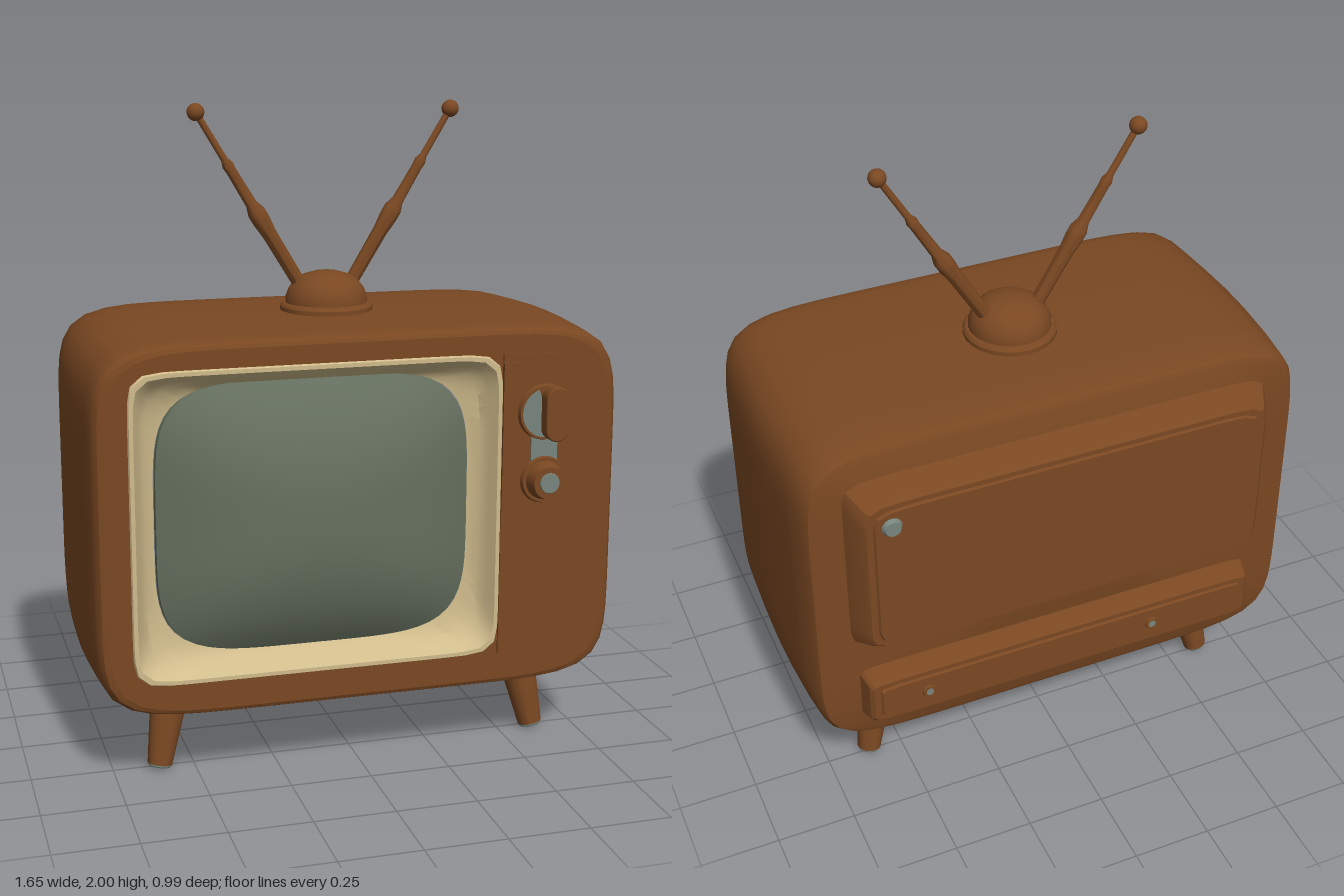
import * as THREE from 'three';
import { toCreasedNormals } from 'three/addons/utils/BufferGeometryUtils.js';

const N = 96;

// Superellipse ring, counter-clockwise seen from the front
function ring(cx, cy, a, b, n, z) {
  const pts = [];
  for (let i = 0; i < N; i++) {
    const t = (i / N) * Math.PI * 2 + Math.PI / N;
    const c = Math.cos(t), s = Math.sin(t);
    const k = Math.pow(Math.pow(Math.abs(c), n) + Math.pow(Math.abs(s), n), -1 / n);
    pts.push(new THREE.Vector3(cx + a * c * k, cy + b * s * k, z));
  }
  return pts;
}

// Skin over a series of rings
function loft(rings, crease = 0.6) {
  const pos = [], idx = [];
  rings.forEach((r) => r.forEach((p) => pos.push(p.x, p.y, p.z)));
  for (let i = 0; i < rings.length - 1; i++) {
    for (let j = 0; j < N; j++) {
      const a = i * N + j, b = i * N + (j + 1) % N;
      idx.push(a, b, b + N, a, b + N, a + N);
    }
  }
  const g = new THREE.BufferGeometry();
  g.setAttribute('position', new THREE.Float32BufferAttribute(pos, 3));
  g.setIndex(idx);
  g.computeVertexNormals();
  return toCreasedNormals(g, crease);
}

export function createModel() {
  const mat = (name, color) => Object.assign(new THREE.MeshStandardMaterial({ color }), { name });
  const brown = mat('brown', 0x7a4822);
  const cream = mat('cream', 0xd0bc8c);
  const glass = mat('screen glass', 0x66705f);
  const metal = mat('grey metal', 0x76847c);

  const model = new THREE.Group();
  model.name = 'television';
  const add = (name, geo, material, x = 0, y = 0, z = 0) => {
    const m = new THREE.Mesh(geo, material);
    m.name = name;
    m.position.set(x, y, z);
    model.add(m);
    return m;
  };
  // Round part whose axis points along z, from z0 to z1
  const disc = (name, material, x, y, r0, r1, z0, z1) => {
    const g = new THREE.CylinderGeometry(r1, r0, z1 - z0, 40);
    g.rotateX(Math.PI / 2);
    return add(name, g, material, x, y, (z0 + z1) / 2);
  };
  // Turned part along the line from p to q
  const turned = (name, profile, material, p, q) => {
    const pts = profile.map(([r, h]) => new THREE.Vector2(r, h));
    const m = add(name, toCreasedNormals(new THREE.LatheGeometry(pts, 24), 0.6), material, p.x, p.y, p.z);
    m.quaternion.setFromUnitVectors(new THREE.Vector3(0, 1, 0), q.clone().sub(p).normalize());
    return m;
  };
  const V = (x, y, z) => new THREE.Vector3(x, y, z);

  // Cabinet shell, bulging a little at mid depth
  const CY = 0.785;
  const bodyRing = (inset, z) => ring(0, CY, 0.825 - inset, 0.575 - inset * 0.6, 8, z);
  const sections = [[0.06, -0.4], [0.035, -0.392], [0.022, -0.37], [0.01, -0.25], [0.002, -0.1], [0, 0.02],
    [0.003, 0.15], [0.01, 0.3], [0.015, 0.375], [0.022, 0.4], [0.032, 0.413], [0.05, 0.418]];
  add('cabinet', loft([ring(0, CY, 0, 0, 8, -0.4), ...sections.map(([i, z]) => bodyRing(i, z))]), brown);

  // Front face with the screen opening
  const opening = (inset, z, n = 16) => ring(-0.137, 0.8, 0.565 - inset, 0.47 - inset, n, z);
  const flat = (pts) => pts.map((p) => new THREE.Vector2(p.x, p.y));
  const face = new THREE.Shape(flat(bodyRing(0.05, 0)));
  face.holes.push(new THREE.Path(flat(opening(0, 0))));
  add('cabinetFront', new THREE.ShapeGeometry(face), brown, 0, 0, 0.418);

  // Cream surround sloping in to the screen
  add('screenSurround', loft([opening(-0.004, 0.417), opening(0, 0.426), opening(0.012, 0.426), opening(0.03, 0.395, 13),
    opening(0.05, 0.365, 10), ring(-0.14, 0.81, 0.485, 0.412, 4.6, 0.352)], 0.7), cream);

  // Bulging picture tube
  const tube = [];
  for (let i = 0; i <= 14; i++) {
    const s = 1 - i / 14;
    tube.push(ring(-0.14, 0.81, 0.48 * s, 0.41 * s, 2.4 + 2.2 * s, 0.365 + 0.113 * (1 - Math.pow(s, 2.5))));
  }
  add('screen', loft([ring(-0.14, 0.81, 0.482, 0.412, 4.6, 0.345), ...tube], 0.7), glass);

  // Control panel: plates that follow the cabinet curve on the right edge
  const panel = (name, a, b, yMin, z, depth) => {
    const pts = flat(ring(0.0175, 0.8, a, b, 12, 0)).filter((p) => p.x > 0.43 && p.y > yMin);
    pts.sort((p, q) => p.y - q.y);
    const top = pts[pts.length - 1].y, low = pts[0].y;
    const s = new THREE.Shape([new THREE.Vector2(0.43, low), ...pts, new THREE.Vector2(0.43, top)]);
    add(name, new THREE.ExtrudeGeometry(s, { depth, bevelEnabled: false }), brown, 0, 0, z);
  };
  panel('controlPanel', 0.717, 0.472, 0, 0.416, 0.009);
  panel('tunerPlate', 0.685, 0.445, 0.76, 0.424, 0.007);

  // Channel knob with a bar grip
  const KX = 0.562;
  disc('channelKnob', brown, KX, 1.09, 0.087, 0.083, 0.43, 0.445);
  add('channelDial', new THREE.CircleGeometry(0.076, 32, 1.9, 2.9), metal, KX, 1.09, 0.447);
  const grip = new THREE.Shape();
  grip.absarc(0, 0.047, 0.033, 0, Math.PI);
  grip.absarc(0, -0.047, 0.033, Math.PI, Math.PI * 2);
  add('channelGrip', new THREE.ExtrudeGeometry(grip, {
    depth: 0.04, bevelThickness: 0.006, bevelSize: 0.004, bevelSegments: 2,
  }), brown, 0.583, 1.09, 0.442);
  add('dialPlate', new THREE.BoxGeometry(0.085, 0.1, 0.006), metal, KX, 0.99, 0.433);

  // Volume knob in steps
  disc('volumeKnobBase', brown, KX, 0.88, 0.075, 0.07, 0.43, 0.445);
  disc('volumeKnob', brown, KX, 0.88, 0.06, 0.05, 0.445, 0.487);
  disc('volumeKnobCap', metal, KX, 0.88, 0.032, 0.03, 0.486, 0.491);

  // Raised back cover and lower strip with chamfered edges
  const backBox = (name, cy, a, b, chamfer, z, n) => add(name, loft([
    ring(0, cy, 0, 0, n, z - 0.008),
    ring(0, cy, a - chamfer - 0.025, b - chamfer - 0.02, n, z - 0.008),
    ring(0, cy, a - chamfer - 0.02, b - chamfer - 0.016, n, z),
    ring(0, cy, a - chamfer, b - chamfer, n, z),
    ring(0, cy, a - chamfer + 0.012, b - chamfer + 0.008, n, z + 0.012),
    ring(0, cy, a, b, n, -0.395)], 0.5), brown);
  backBox('backCover', 0.935, 0.69, 0.315, 0.045, -0.482, 16);
  backBox('backStrip', 0.425, 0.67, 0.1, 0.025, -0.464, 18);
  disc('backBolt', metal, 0.57, 1.13, 0.024, 0.034, -0.503, -0.485);
  [0.47, -0.3].forEach((x) => {
    disc('stripScrewRing', brown, x, 0.425, 0.02, 0.024, -0.478, -0.468);
    disc('stripScrew', metal, x, 0.425, 0.012, 0.012, -0.48, -0.47);
  });

  // Splayed legs with metal tips
  for (const sx of [-1, 1]) {
    for (const sz of [-1, 1]) {
      const p = V(sx * 0.61, 0.011, 0.012 + sz * 0.258);
      const q = V(sx * 0.565, 0.25, 0.012 + sz * 0.222);
      turned('leg', [[0.038, 0.008], [0.058, 0.22], [0.058, 0.245]], brown, p, q);
      turned('legTip', [[0, 0], [0.033, 0], [0.036, 0.004], [0.036, 0.01], [0, 0.01]], metal, p, q);
    }
  }

  // Antenna base
  turned('antennaBase', [[0.145, 0], [0.145, 0.025], [0.138, 0.034], [0.128, 0.036], [0.127, 0.055], [0.118, 0.08],
    [0.1, 0.103], [0.075, 0.12], [0.04, 0.131], [0, 0.134]], brown, V(0, 1.347, -0.01), V(0, 2, -0.01));

  // Telescopic antenna rods with ball ends
  for (const sx of [-1, 1]) {
    const tip = V(sx * 0.405, 1.973, -0.02);
    turned('antennaRod', [[0.021, 0], [0.023, 0.22], [0.028, 0.27], [0.028, 0.3], [0.018, 0.33], [0.016, 0.45],
      [0.018, 0.47], [0.011, 0.49], [0.01, 0.66]], brown, V(sx * 0.065, 1.41, -0.02), tip);
    add('antennaBall', new THREE.SphereGeometry(0.027, 20, 14), brown, tip.x, tip.y, tip.z);
  }
  return model;
}
